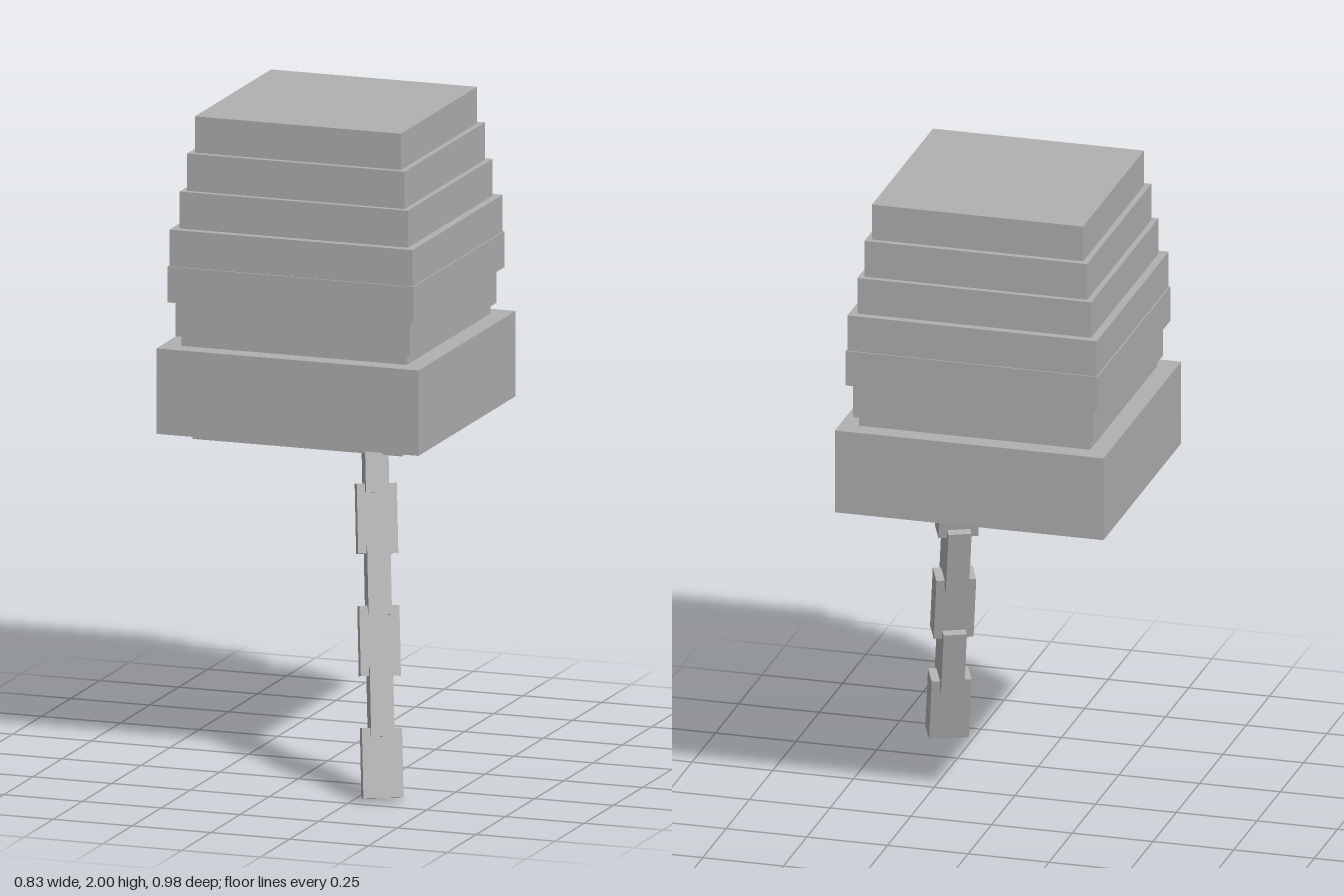
import * as THREE from 'three';

export function createModel() {
  const model = new THREE.Group();
  const grey = new THREE.MeshStandardMaterial({ color: 0xb0b0b0 });
  grey.name = 'grey';

  const box = (name, w, h, d, parent) => {
    const mesh = new THREE.Mesh(new THREE.BoxGeometry(w, h, d), grey);
    mesh.name = name;
    parent.add(mesh);
    return mesh;
  };

  // Stacked square slabs: name, bottom y, top y, half width
  const body = new THREE.Group();
  body.name = 'body';
  body.position.z = -0.073;
  model.add(body);
  const slabs = [
    ['basePlate', 1.015, 1.042, 0.332],
    ['rim', 1.042, 1.303, 0.416],
    ['neck', 1.303, 1.334, 0.358],
    ['lowerTier', 1.334, 1.44, 0.372],
    ['widestTier', 1.44, 1.55, 0.39],
    ['middleTier', 1.55, 1.662, 0.386],
    ['upperTier', 1.662, 1.775, 0.362],
    ['shoulderTier', 1.775, 1.889, 0.345],
    ['topTier', 1.889, 2.0, 0.327],
  ];
  for (const [name, y0, y1, half] of slabs) {
    box(name, half * 2, y1 - y0, half * 2, body).position.y = (y0 + y1) / 2;
  }

  // Hanging chain of overlapping links, alternately turned a quarter
  const chain = new THREE.Group();
  chain.name = 'chain';
  chain.position.set(0.324, 0.111, 0.41);
  chain.rotation.set(-0.239, 0.445, 0, 'YXZ');
  model.add(chain);
  for (let i = 0; i < 6; i++) {
    const [w, d] = i % 2 ? [0.07, 0.12] : [0.12, 0.07];
    box('chainLink' + (i + 1), w, 0.209, d, chain).position.y = i * 0.182;
  }

  return model;
}
